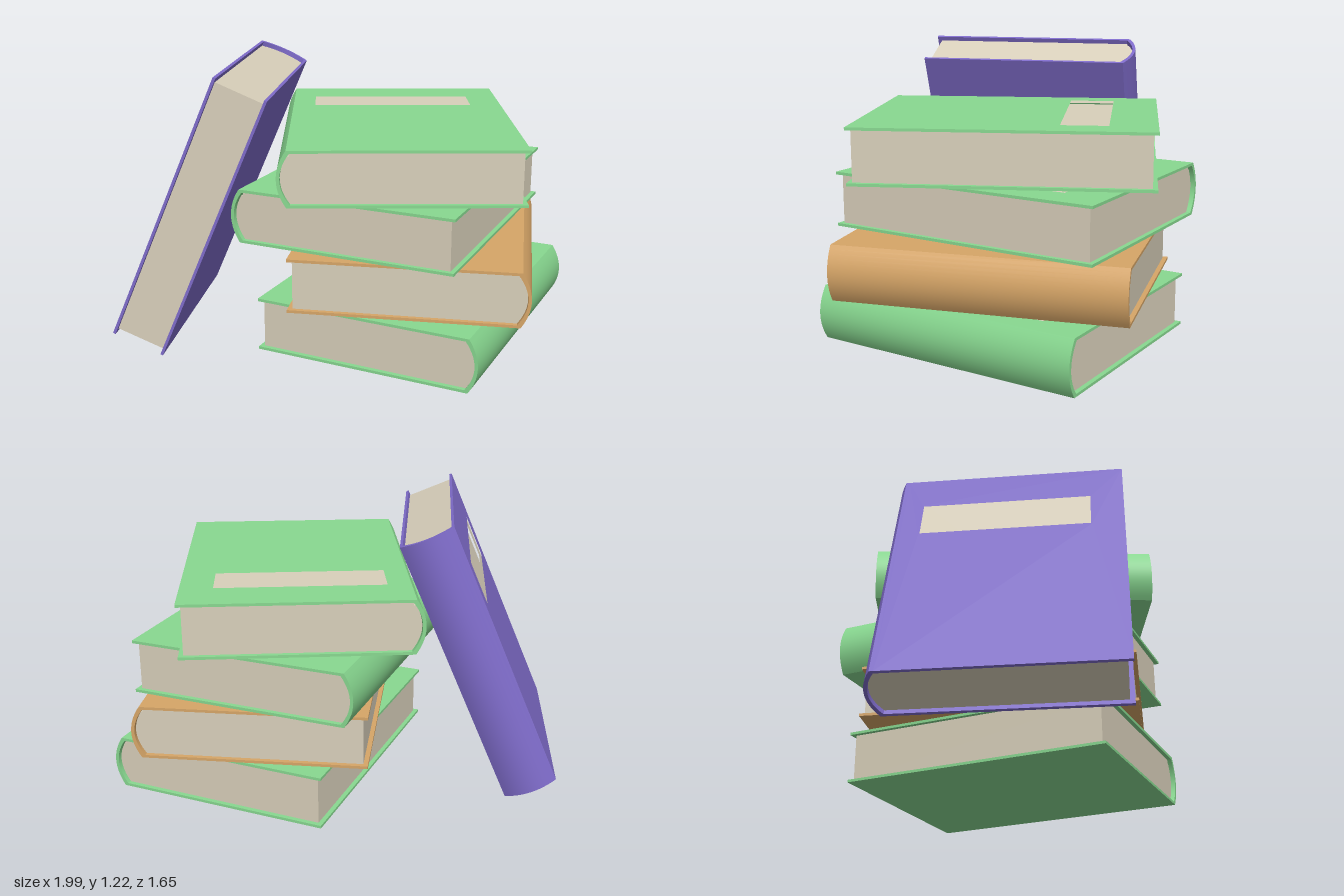
import * as THREE from 'three';
import { toCreasedNormals } from 'three/addons/utils/BufferGeometryUtils.js';

const W = 1.0, L = 1.225, T = 0.236;   // cover depth, spine length, thickness
const C = 0.012, H = T / 2;            // board thickness, half thickness
const FLAT = 0.46, BULGE = 0.04;       // where the boards end, spine bulge
const INSET = 0.02, PIT = 0.03;        // page inset, depth of the label window
const LABEL = { w: 0.72, h: 0.195, z: 0.32 };

const mat = (color) => new THREE.MeshStandardMaterial({ color });

// Points along the rounded spine from bottom to top
function arc(x0, h, y0 = -h, y1 = h, n = 14) {
  return Array.from({ length: n + 1 }, (_, i) => {
    const y = y0 + ((y1 - y0) * i) / n;
    return new THREE.Vector2(x0 + BULGE * (1 - (y / h) ** 2), y);
  });
}

// Profile in x/y drawn out along the spine direction
function along(points, length) {
  const g = new THREE.ExtrudeGeometry(new THREE.Shape(points), { depth: length, bevelEnabled: false });
  g.translate(0, 0, -length / 2);
  return toCreasedNormals(g, 0.6);
}

const rect = (x0, x1, z0, z1) => [[x0, z0], [x1, z0], [x1, z1], [x0, z1]].map(([x, z]) => new THREE.Vector2(x, -z));

// Flat board with a rectangular hole, lying from y to y + depth
function board(outer, hole, y, depth) {
  const s = new THREE.Shape(rect(...outer));
  s.holes.push(new THREE.Path(rect(...hole)));
  const g = new THREE.ExtrudeGeometry(s, { depth, bevelEnabled: false });
  g.rotateX(-Math.PI / 2);
  return g.translate(0, y, 0);
}

// Book lying flat: spine at +x, label window in the upper cover
function book(name, color, labelSide) {
  const g = new THREE.Group();
  g.name = name;
  const cover = mat(color), paper = mat(0xd8cfba);
  const add = (part, geo, m) => {
    const mesh = new THREE.Mesh(geo, m);
    mesh.name = part;
    g.add(mesh);
  };
  const v = (x, y) => new THREE.Vector2(x, y);
  const zc = labelSide * LABEL.z;
  const windowRect = (e) => [-LABEL.w / 2 - e, LABEL.w / 2 + e, zc - LABEL.h / 2 - e, zc + LABEL.h / 2 + e];
  const hi = H - C, front = -W / 2;

  // Lower board and curved spine in one profile
  add('lowerCoverAndSpine', along([
    v(front, -H), ...arc(FLAT, H), v(FLAT - 0.016, H), v(FLAT - 0.016, hi),
    ...arc(FLAT - 0.014, hi).reverse(), v(front, -hi),
  ], L), cover);

  // Upper board and the lining of its label window
  add('upperCover', board([front, FLAT - 0.016, -L / 2, L / 2], windowRect(0.005), hi, C), cover);
  add('labelFrame', board(windowRect(0.005), windowRect(0), H - PIT, PIT), cover);

  // Page block, split at the floor of the label window
  const split = H - PIT;
  add('pages', along([
    v(front + INSET, -hi), ...arc(FLAT - 0.015, hi, -hi, split), v(front + INSET, split),
  ], L - 2 * INSET), paper);
  add('upperPages', board(
    [front + INSET, FLAT - 0.01, -L / 2 + INSET, L / 2 - INSET], windowRect(0.005), split, hi - split), paper);
  return g;
}

export function createModel() {
  const model = new THREE.Group();
  model.name = 'bookPile';
  const green = 0x88d890;

  // Stack from the bottom up: name, colour, x, z, turn, label side
  [
    ['bottomBook', green, 0.35, -0.085, -0.02, -1],
    ['secondBook', 0xd6a567, 0.35, -0.11, 0.265, -1],
    ['thirdBook', green, 0.22, -0.09, Math.PI, 1],
    ['topBook', green, 0.23, -0.065, 3.578, 1],
  ].forEach(([name, color, x, z, turn, side], i) => {
    const b = book(name, color, side);
    b.position.set(x, 0.122 + 0.241 * i, z);
    b.rotation.y = turn;
    model.add(b);
  });

  // Book leaning on the stack, fore-edge forward
  const leaning = book('leaningBook', 0x7e6bc9, 1);
  const toSpine = new THREE.Vector3(-0.294, 0, -0.956).normalize();
  const up = new THREE.Vector3(0.375, 0.921, -0.115).normalize();
  const outward = new THREE.Vector3().crossVectors(up, toSpine).normalize();
  leaning.quaternion.setFromRotationMatrix(new THREE.Matrix4().makeBasis(toSpine, outward, up));
  leaning.position.set(-0.526, 0.615, 0.235);
  model.add(leaning);
  return model;
}
